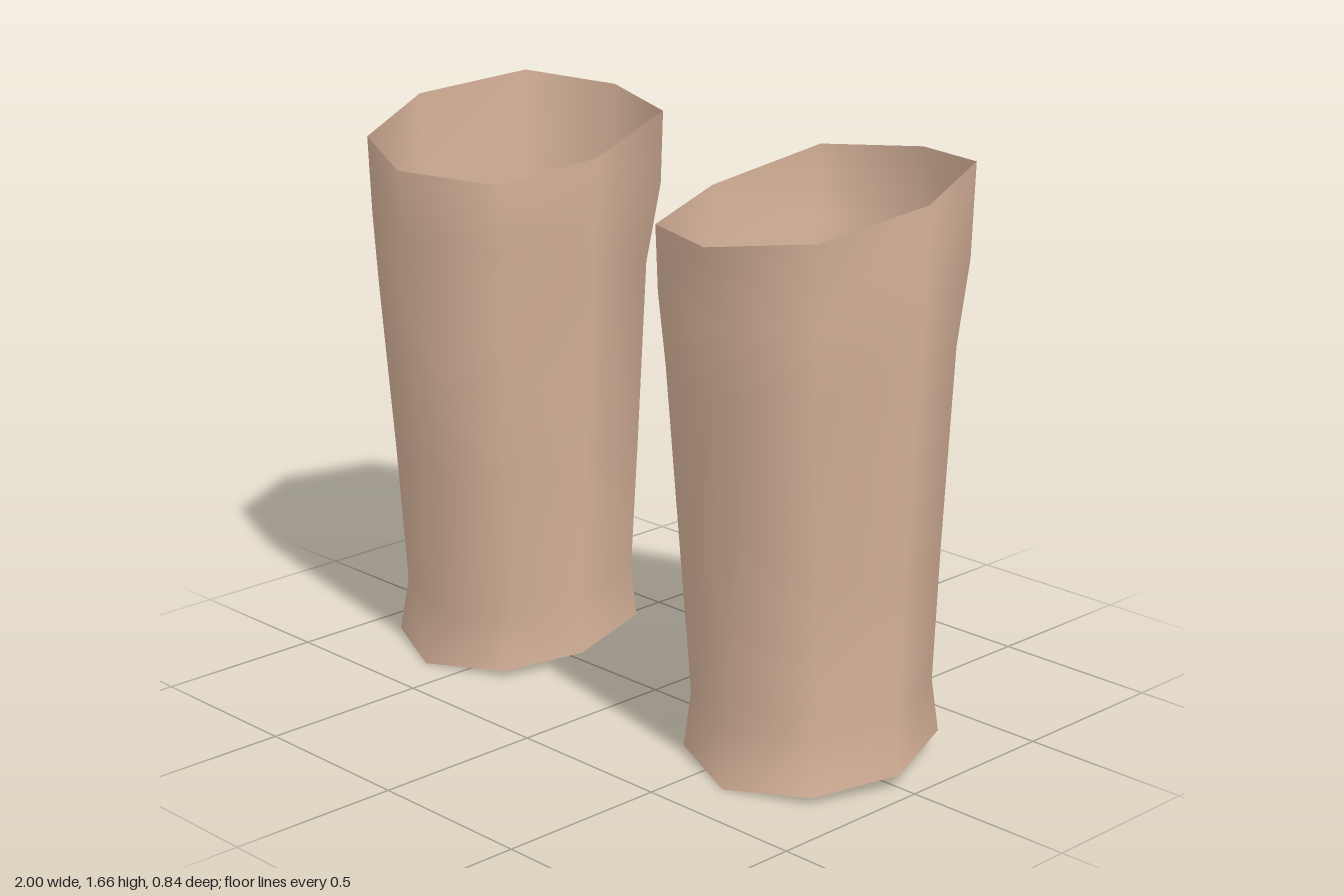
import * as THREE from 'three';

const skin = new THREE.MeshStandardMaterial({ color: 0xd6b299, side: THREE.DoubleSide });
skin.name = 'warm tan';

// Unit octagon [x, z]: front, front outer, outer, back outer, back, back inner, inner, front inner
const OCTAGON = [[-0.02, 1], [0.71, 0.72], [1, 0.02], [0.7, -0.74], [-0.02, -1], [-0.79, -0.79], [-1, 0.02], [-0.79, 0.72]];

// Cross-sections from the hem up: inner x, outer x, front z, back z, and heights round the octagon
const slope = (front, back) => OCTAGON.map(([, z]) => front + (back - front) * (1 - z) / 2);
const RINGS = [
  { x: [0.305, 0.95], z: [0.35, -0.355], y: [0, 0.02, 0.04, 0.06, 0.11, 0.055, 0.03, 0.02] },
  { x: [0.31, 0.935], z: [0.315, -0.33], y: slope(0.17, 0.22) },
  { x: [0.285, 0.952], z: [0.35, -0.342], y: slope(0.6, 0.62) },
  { x: [0.256, 0.982], z: [0.393, -0.36], y: slope(1.1, 1.18) },
  { x: [0.232, 0.995], z: [0.407, -0.41], y: slope(1.3, 1.42) },
  { x: [0.23, 1], z: [0.418, -0.42], y: [1.512, 1.55, 1.62, 1.665, 1.645, 1.62, 1.545, 1.5] },
];

// Open eight-sided sleeve; side is +1 for left, -1 for right
function makeSleeve(side) {
  const n = OCTAGON.length;
  const positions = [];
  const index = [];
  RINGS.forEach(({ x, z, y }, r) => {
    const centre = (x[0] + x[1]) / 2;
    const half = (x[1] - x[0]) / 2;
    OCTAGON.forEach(([ox, oz], i) => {
      positions.push(side * (centre + ox * half), y[i], oz > 0 ? oz * z[0] : -oz * z[1]);
      if (r === 0) return;
      const a = (r - 1) * n + i, b = (r - 1) * n + (i + 1) % n;
      const c = b + n, d = a + n;
      if (side > 0) index.push(a, b, c, a, c, d);
      else index.push(a, c, b, a, d, c);
    });
  });
  const geometry = new THREE.BufferGeometry();
  geometry.setAttribute('position', new THREE.Float32BufferAttribute(positions, 3));
  geometry.setIndex(index);
  geometry.computeVertexNormals();
  return new THREE.Mesh(geometry, skin);
}

export function createModel() {
  const model = new THREE.Group();
  model.name = 'sleeves';
  for (const [name, side] of [['leftSleeve', 1], ['rightSleeve', -1]]) {
    const sleeve = makeSleeve(side);
    sleeve.name = name;
    model.add(sleeve);
  }
  return model;
}
